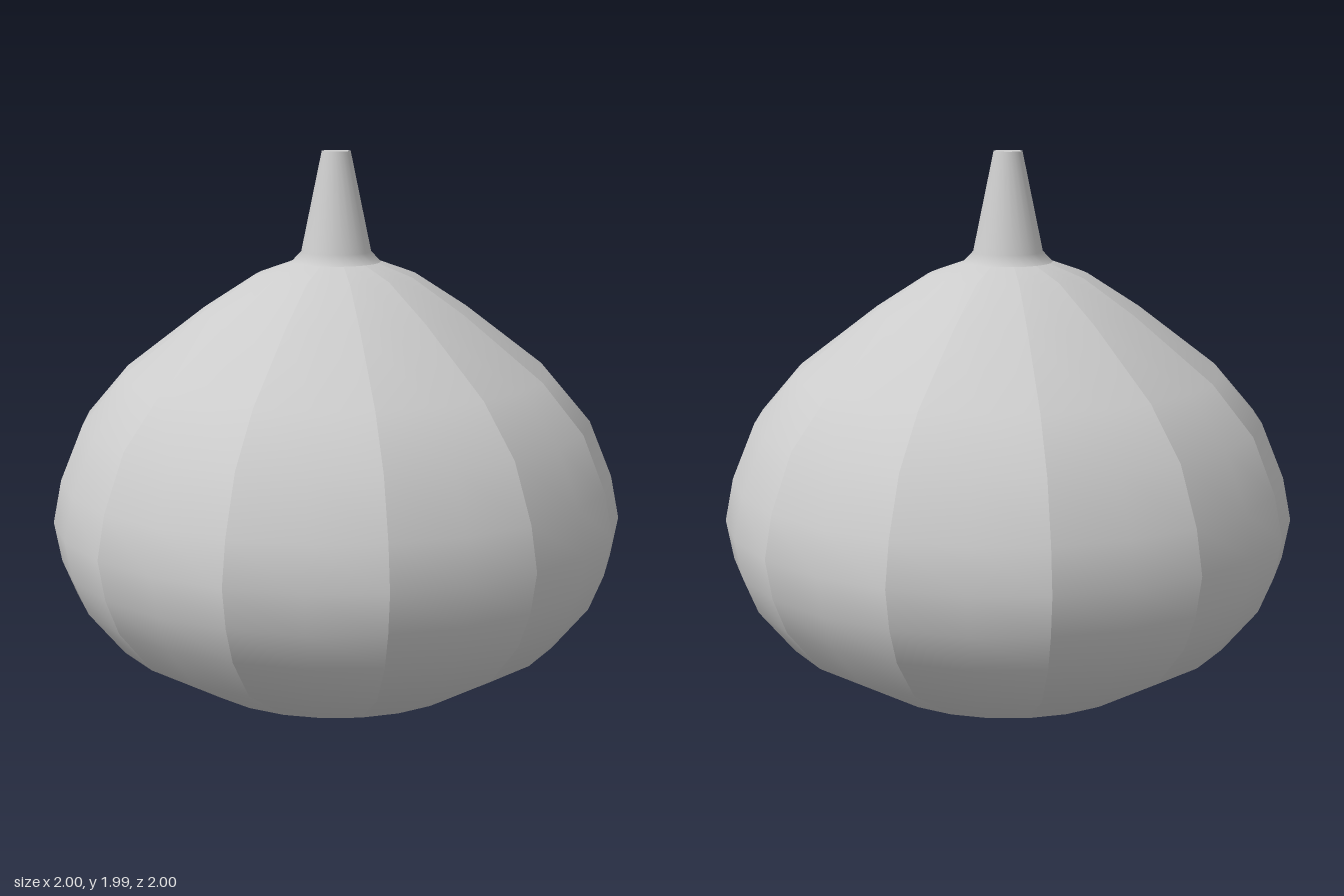
import * as THREE from 'three';
import { mergeGeometries } from 'three/addons/utils/BufferGeometryUtils.js';

const points = (list) => list.map(([r, y]) => new THREE.Vector2(r, y));

export function createModel() {
  const group = new THREE.Group();
  const material = new THREE.MeshStandardMaterial({ color: 0xcccccc });
  const add = (name, geometry) => {
    const mesh = new THREE.Mesh(geometry, material);
    mesh.name = name;
    group.add(mesh);
    return mesh;
  };

  // Bulb: twelve gores, smooth within each one and creased along the seams
  const profile = points([
    [0, 0.005], [0.165, 0], [0.51, 0.12], [0.8, 0.29], [0.925, 0.445],
    [0.975, 0.57], [1, 0.71], [0.97, 0.86], [0.89, 1.055], [0.745, 1.225],
    [0.465, 1.44], [0.28, 1.56], [0.155, 1.605],
  ]);
  const gores = 12;
  const step = (Math.PI * 2) / gores;
  const panels = [];
  for (let i = 0; i < gores; i++) {
    const panel = new THREE.LatheGeometry(profile, 2, (i - 0.5) * step, step);
    panel.computeVertexNormals();
    panels.push(panel);
  }
  add('bulb', mergeGeometries(panels));

  // Tapered stem with a small flare at its foot
  const stemProfile = points([[0.155, 1.605], [0.122, 1.64], [0.05, 1.985]]);
  add('stem', new THREE.LatheGeometry(stemProfile, 24));

  // Flat end of the stem
  const cap = add('stemTop', new THREE.CircleGeometry(0.05, 24));
  cap.rotation.x = -Math.PI / 2;
  cap.position.y = 1.985;

  return group;
}
